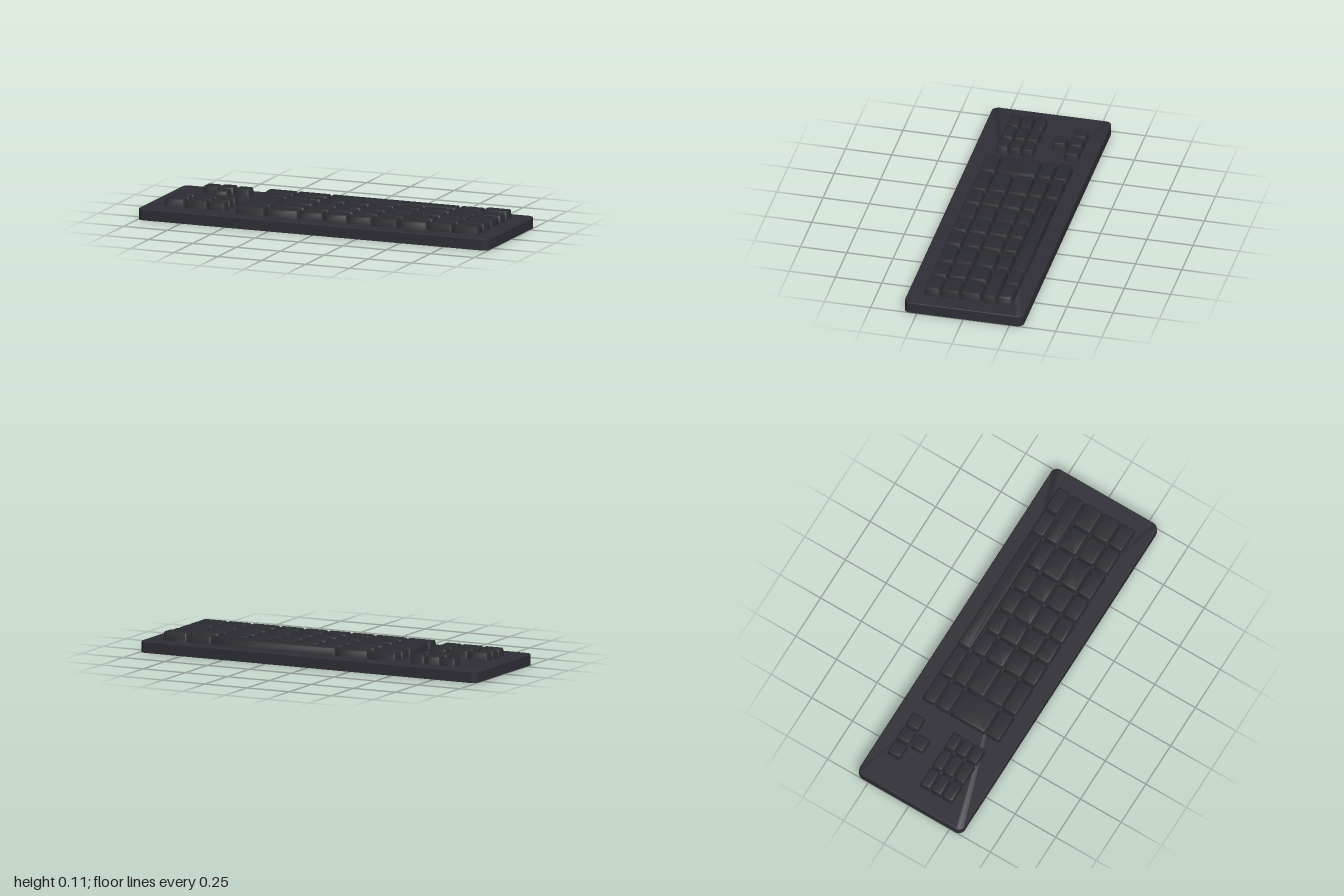
import * as THREE from 'three';
import { toCreasedNormals } from 'three/addons/utils/BufferGeometryUtils.js';

const PLATE = 0.06; // height of the case top

// Rounded rectangle outline as [x, z] points
function outline(hw, hd, r, steps) {
  const pts = [];
  [[1, 1], [-1, 1], [-1, -1], [1, -1]].forEach(([sx, sz], q) => {
    for (let i = 0; i <= steps; i++) {
      const a = (q + i / steps) * Math.PI / 2;
      pts.push([sx * (hw - r) + r * Math.cos(a), sz * (hd - r) + r * Math.sin(a)]);
    }
  });
  return pts;
}

// Skin rings of {y, inset} upward and close the top, open below
function loft(w, d, r, rings, capY, crease, steps = 3) {
  const pos = [], index = [];
  let n = 0;
  rings.forEach(({ y, inset }) => {
    const pts = outline(w / 2 - inset, d / 2 - inset, Math.max(r - inset * 0.5, 0.004), steps);
    n = pts.length;
    pts.forEach(([x, z]) => pos.push(x, y, z));
  });
  for (let k = 0; k < rings.length - 1; k++) {
    for (let i = 0; i < n; i++) {
      const j = (i + 1) % n, a = k * n, b = a + n;
      index.push(a + i, b + i, a + j, a + j, b + i, b + j);
    }
  }
  const top = (rings.length - 1) * n, centre = pos.length / 3;
  pos.push(0, capY, 0);
  for (let i = 0; i < n; i++) index.push(centre, top + (i + 1) % n, top + i);
  const geo = new THREE.BufferGeometry();
  geo.setAttribute('position', new THREE.Float32BufferAttribute(pos, 3));
  geo.setIndex(index);
  return toCreasedNormals(geo, crease);
}

export function createModel() {
  const model = new THREE.Group();
  model.name = 'keyboard';
  const caseMat = new THREE.MeshStandardMaterial({ color: 0x302f38, side: THREE.DoubleSide });
  caseMat.name = 'charcoal case';
  const keyMat = new THREE.MeshStandardMaterial({ color: 0x2b2c32, side: THREE.DoubleSide });
  keyMat.name = 'dark grey keys';

  // Case: thin shell, open underneath
  const shell = new THREE.Mesh(loft(2, 0.644, 0.035, [
    { y: 0, inset: 0 }, { y: PLATE - 0.003, inset: 0 }, { y: PLATE, inset: 0.004 },
  ], PLATE, 0.6, 6), caseMat);
  shell.name = 'case';
  model.add(shell);

  // One tapered keycap with a soft rim and a slightly dished top
  function addKey(group, name, x0, x1, z0, z1, top = 0.102) {
    const geo = loft(x1 - x0, z1 - z0, 0.01, [
      { y: PLATE - 0.003, inset: 0 },
      { y: top - 0.006, inset: 0.005 },
      { y: top - 0.001, inset: 0.008 },
      { y: top, inset: 0.013 },
    ], top - 0.002, 1.0);
    const key = new THREE.Mesh(geo, keyMat);
    key.name = name;
    key.position.set((x0 + x1) / 2, 0, (z0 + z1) / 2);
    group.add(key);
  }

  function addRow(group, name, spans, [z0, z1]) {
    spans.forEach(([x0, x1, top]) => addKey(group, name, x0, x1, z0, z1, top));
  }

  // Main block
  const main = new THREE.Group();
  main.name = 'mainKeys';
  const edge = [-0.477, -0.313], second = [-0.308, -0.122];
  const letters = [[-0.117, 0.02], [0.025, 0.157], [0.162, 0.299], [0.304, 0.442], [0.447, 0.613]];
  const last = [[0.618, 0.757], [0.762, 0.905]];
  addRow(main, 'bottomRowKey', [edge, second, last[0], [0.762, 0.905, 0.107]], [-0.24, -0.16]);
  addKey(main, 'spaceBar', -0.117, 0.613, -0.24, -0.16);
  addRow(main, 'lowerRowKey', [edge, second, ...letters, [0.618, 0.905]], [-0.154, -0.074]);
  addRow(main, 'middleRowKey', [second, ...letters, ...last], [-0.069, 0.039]);
  addRow(main, 'upperRowKey', [second, ...letters, ...last], [0.044, 0.146]);
  addRow(main, 'topRowKey', [edge, second, ...letters, ...last], [0.149, 0.235]);
  addKey(main, 'enterKey', -0.477, -0.315, -0.069, 0.146);
  model.add(main);

  // Arrow cluster
  const arrows = new THREE.Group();
  arrows.name = 'arrowKeys';
  addRow(arrows, 'arrowKey', [[-0.83, -0.745], [-0.74, -0.654, 0.105], [-0.649, -0.565]], [-0.24, -0.16]);
  addKey(arrows, 'arrowKey', -0.74, -0.654, -0.152, -0.074);
  model.add(arrows);

  // Three by three navigation cluster
  const nav = new THREE.Group();
  nav.name = 'navigationKeys';
  const columns = [[-0.897, -0.782], [-0.777, -0.654], [-0.649, -0.55]];
  [[0, 0.064], [0.068, 0.132], [0.136, 0.202]].forEach((z) => addRow(nav, 'navigationKey', columns, z));
  model.add(nav);

  return model;
}
